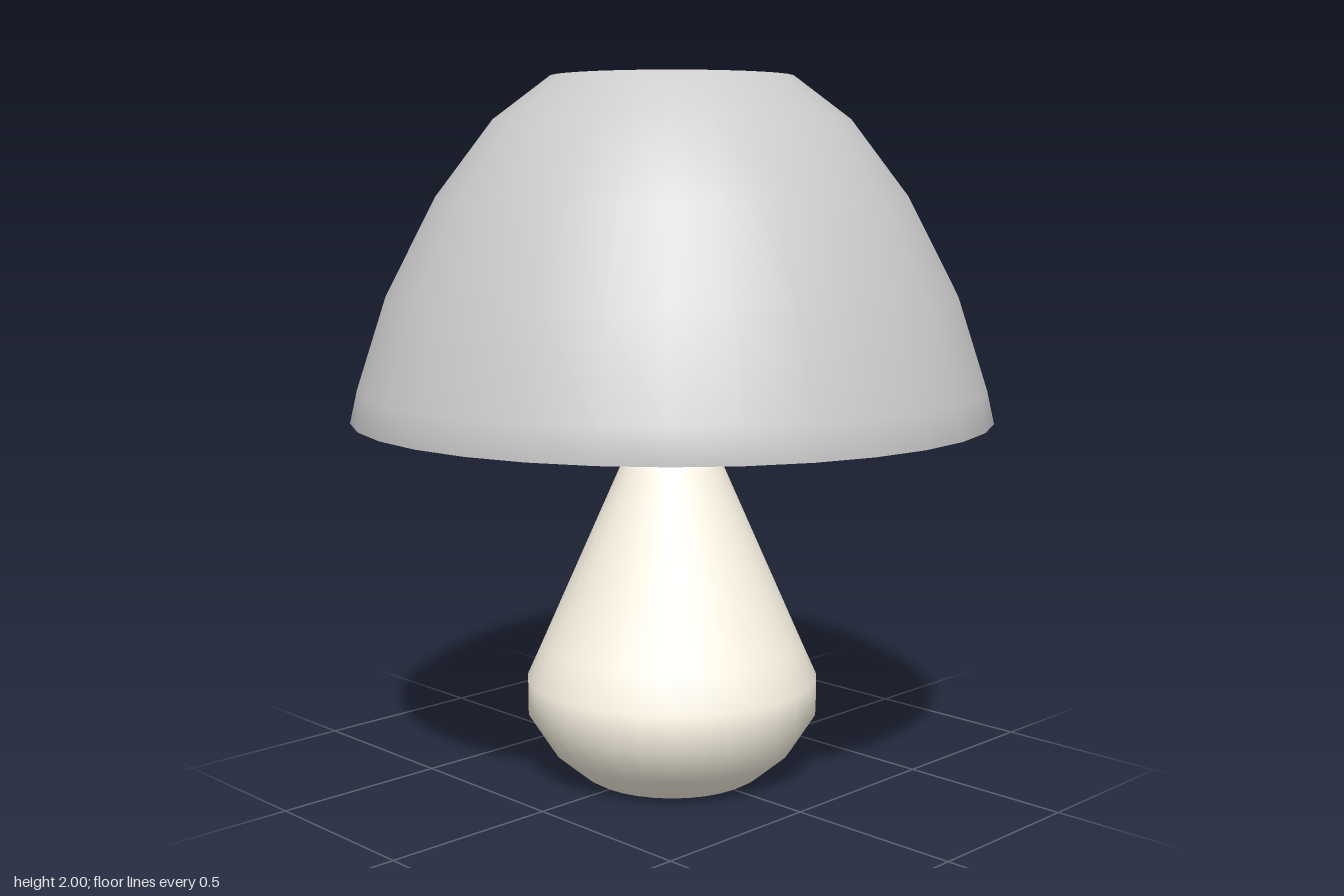
import * as THREE from 'three';

// Lathe from [radius, height] pairs; a repeated pair makes a sharp edge
function turned(name, profile, color, sides) {
  const points = profile.map(([r, y]) => new THREE.Vector2(r, y));
  const mesh = new THREE.Mesh(
    new THREE.LatheGeometry(points, sides),
    new THREE.MeshStandardMaterial({ color })
  );
  mesh.name = name;
  return mesh;
}

function rod(name, radius, y0, y1, color) {
  const mesh = new THREE.Mesh(
    new THREE.CylinderGeometry(radius, radius, y1 - y0, 24),
    new THREE.MeshStandardMaterial({ color })
  );
  mesh.position.y = (y0 + y1) / 2;
  mesh.name = name;
  return mesh;
}

export function createModel() {
  const lamp = new THREE.Group();
  lamp.name = 'tableLamp';
  const brown = 0x755523;

  // Pear-shaped body with flat ends
  lamp.add(turned('base', [
    [0, 0], [0.25, 0], [0.25, 0], [0.27, 0.012], [0.35, 0.08], [0.42, 0.19],
    [0.42, 0.29], [0.375, 0.39], [0.15, 0.9], [0.14, 0.93], [0.12, 0.95],
    [0.12, 0.95], [0, 0.95],
  ], 0xfff8e8, 32));

  // Stem, lamp holder and bulb
  lamp.add(rod('stem', 0.024, 0.94, 1.1, brown));
  lamp.add(rod('socket', 0.083, 1.08, 1.29, brown));
  const bulb = new THREE.Mesh(
    new THREE.SphereGeometry(0.094, 24, 16),
    new THREE.MeshStandardMaterial({ color: 0xec780f })
  );
  bulb.position.y = 1.335;
  bulb.name = 'bulb';
  lamp.add(bulb);

  // Thin domed shade: inner wall down to the rim, then outer wall up
  const outer = [[0.905, 1.05], [0.885, 1.14], [0.8, 1.4], [0.66, 1.67], [0.5, 1.88], [0.34, 2]];
  const inner = outer.map(([r, y], i) => [r - 0.018, i ? y - 0.016 : y]).reverse();
  lamp.add(turned('shade', [
    [0, 1.984], inner[0], ...inner, ...outer, outer[5], [0, 2],
  ], 0xcccccc, 32));

  return lamp;
}
